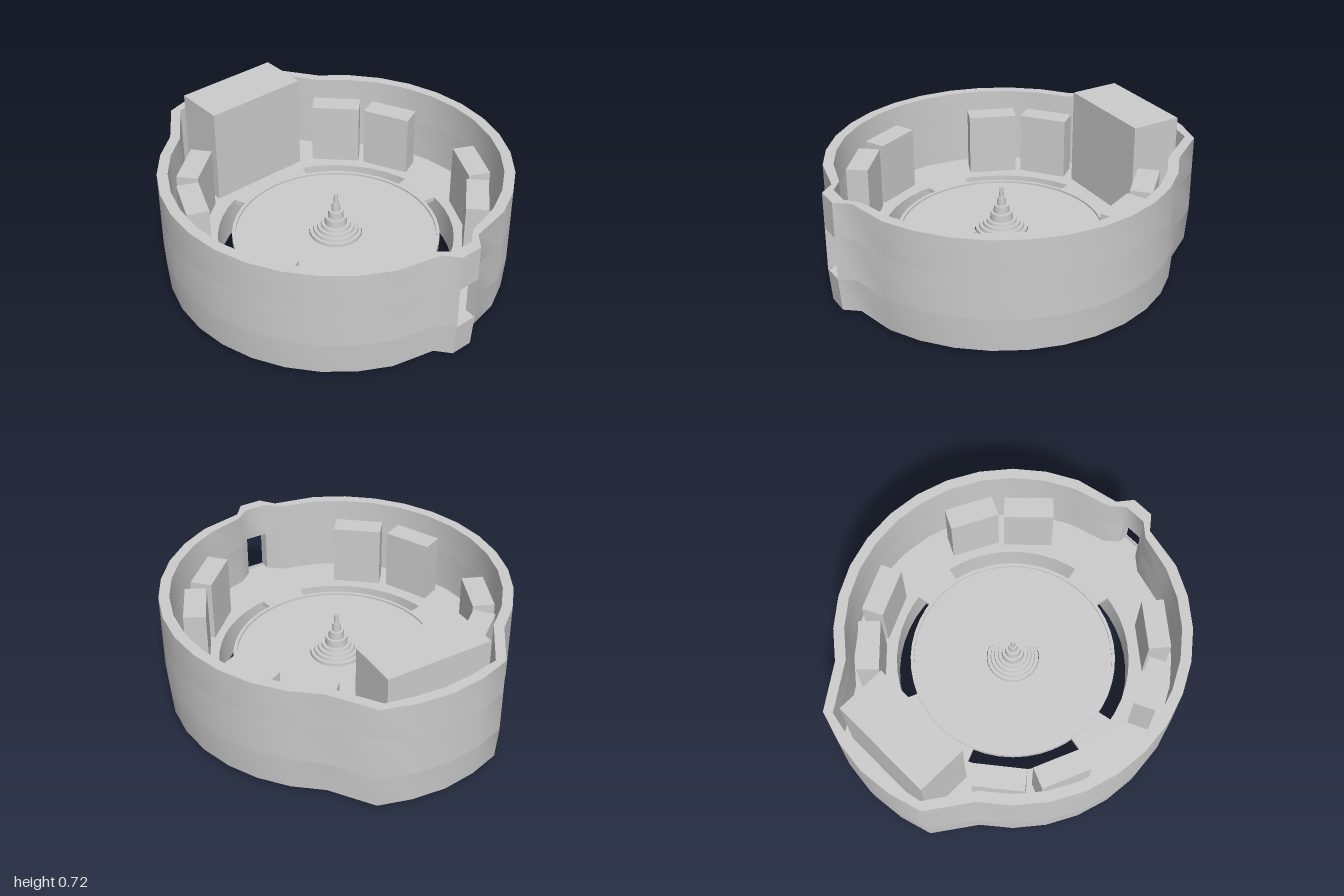
import * as THREE from 'three';
import { toCreasedNormals } from 'three/addons/utils/BufferGeometryUtils.js';

const CX = 0.04; // centre of the round body along x
const FLOOR = 0.19, FLOOR_BOTTOM = 0.165;
const material = new THREE.MeshStandardMaterial({ color: 0xcccccc, side: THREE.DoubleSide });
const rad = THREE.MathUtils.degToRad;

// Half of the wall outline, from the pointed nose (+x) to the bulge (-x); mirrored over z
function outline(r, nose, bulge) {
  const half = nose.map(([x, z]) => new THREE.Vector2(x, z));
  for (let a = 22.5; a <= 146.25; a += 11.25) {
    half.push(new THREE.Vector2(CX + r * Math.cos(rad(a)), r * Math.sin(rad(a))));
  }
  bulge.forEach(([x, z]) => half.push(new THREE.Vector2(x, z)));
  const mirrored = half.slice(0, -1).reverse().map(p => new THREE.Vector2(p.x, -p.y));
  return [...half, ...mirrored];
}

const scaled = (points, s) => points.map(p => p.clone().multiplyScalar(s));

function ringShape(outer, inner) {
  const shape = new THREE.Shape(outer);
  shape.holes.push(new THREE.Path(inner));
  return shape;
}

// Extrude a plan shape (x, z) between two heights
function slab(shape, y0, y1) {
  const g = new THREE.ExtrudeGeometry(shape, { depth: y1 - y0, bevelEnabled: false, curveSegments: 32 });
  g.rotateX(Math.PI / 2);
  g.translate(0, y1, 0);
  return g;
}

function circle(r, segments = 48) {
  return Array.from({ length: segments }, (_, i) => {
    const a = i / segments * Math.PI * 2;
    return new THREE.Vector2(CX + r * Math.cos(a), r * Math.sin(a));
  });
}

export function createModel() {
  const model = new THREE.Group();
  const add = (name, geometry, parent = model) => {
    const mesh = new THREE.Mesh(geometry, material);
    mesh.name = name;
    parent.add(mesh);
    return mesh;
  };
  const crease = (g, angle = 0.75) => toCreasedNormals(g, angle);
  const lathe = (points, segments) => {
    const g = new THREE.LatheGeometry(points.map(([r, y]) => new THREE.Vector2(r, y)), segments);
    g.translate(CX, 0, 0);
    return crease(g);
  };

  // Outer wall: thin tapered skirt, band with the nose window, upper band
  const outer = outline(0.905, [[1, 0.06], [0.925, 0.12]], [[-0.93, 0.35], [-0.98, 0.18], [-1, 0]]);
  const inner = outline(0.85, [[0.94, 0.06], [0.88, 0.13]], [[-0.9, 0.31], [-0.93, 0.16], [-0.945, 0]]);
  const openWall = new THREE.Shape([...outer, ...[...inner].reverse()]);

  const wall = new THREE.Group();
  wall.name = 'outerWall';
  model.add(wall);
  const skirt = slab(ringShape(outer, scaled(outer, 0.993)), 0.02, 0.2);
  const pos = skirt.attributes.position;
  for (let i = 0; i < pos.count; i++) {
    if (pos.getY(i) < 0.1) pos.setXYZ(i, pos.getX(i) * 0.985, pos.getY(i), pos.getZ(i) * 0.985);
  }
  add('wallSkirt', crease(skirt), wall);
  add('wallWindowBand', crease(slab(openWall, 0.2, 0.43)), wall);
  add('wallUpperBand', crease(slab(ringShape(outer, inner), 0.43, 0.62)), wall);

  // Floor between the wall and the central opening
  add('floor', crease(slab(ringShape(scaled(outer, 0.988), circle(0.622)), FLOOR_BOTTOM, FLOOR)));

  // Bridges joining the floor to the central disc: [angle, half width] in degrees
  for (const [angle, half] of [[0, 11.3], [90, 10.8], [180, 22.8], [270, 10.8]]) {
    const s = new THREE.Shape();
    s.absarc(CX, 0, 0.622, rad(angle - half), rad(angle + half), false);
    s.absarc(CX, 0, 0.545, rad(angle + half), rad(angle - half), true);
    add('bridge', crease(slab(s, FLOOR_BOTTOM, FLOOR)));
  }

  // Thin foot ring below the floor
  add('footRing', lathe([[0.622, 0], [0.622, FLOOR]], 48));

  // Thin central disc inside a raised rim
  add('centralDisc', lathe([[0.14, FLOOR - 0.004], [0.53, FLOOR - 0.004], [0.53, FLOOR_BOTTOM],
    [0.548, FLOOR_BOTTOM], [0.548, FLOOR + 0.01], [0.53, FLOOR + 0.01], [0.53, FLOOR], [0.14, FLOOR]], 48));

  // Hollow stepped spindle: [radius, top of step], each step drawn in slightly
  const profile = [];
  let y = FLOOR_BOTTOM;
  for (const [r, top] of [[0.14, 0.205], [0.12, 0.22], [0.1, 0.235], [0.08, 0.25],
    [0.06, 0.29], [0.042, 0.33], [0.024, 0.375], [0.013, 0.43]]) {
    profile.push([r, y], [r - 0.003, top]);
    y = top;
  }
  profile.push([0, y]);
  add('spindle', lathe(profile, 24));

  // Upright blocks around the floor: [x, z, direction x, direction z]
  const blocks = [
    [-0.265, -0.655, 45, -21], [-0.52, -0.48, 35, -35],
    [0.375, -0.645, 44, 22], [0.61, -0.45, 35, 36],
    [-0.535, 0.48, 31, 39], [-0.285, 0.665, 45, 19],
    [0.35, 0.68, 45, -21], [0.6, 0.477, 30, -37],
  ];
  const blockTop = 0.53;
  for (const [x, z, dx, dz] of blocks) {
    const b = add('block', new THREE.BoxGeometry(0.262, blockTop - FLOOR_BOTTOM, 0.115));
    b.position.set(x, (blockTop + FLOOR_BOTTOM) / 2, z);
    b.rotation.y = Math.atan2(-dz, dx);
  }

  // Tall housing inside the bulge
  const housing = add('housing', new THREE.BoxGeometry(0.274, 0.72 - FLOOR_BOTTOM, 0.57));
  housing.position.set(-0.735, (0.72 + FLOOR_BOTTOM) / 2, 0.012);

  return model;
}
